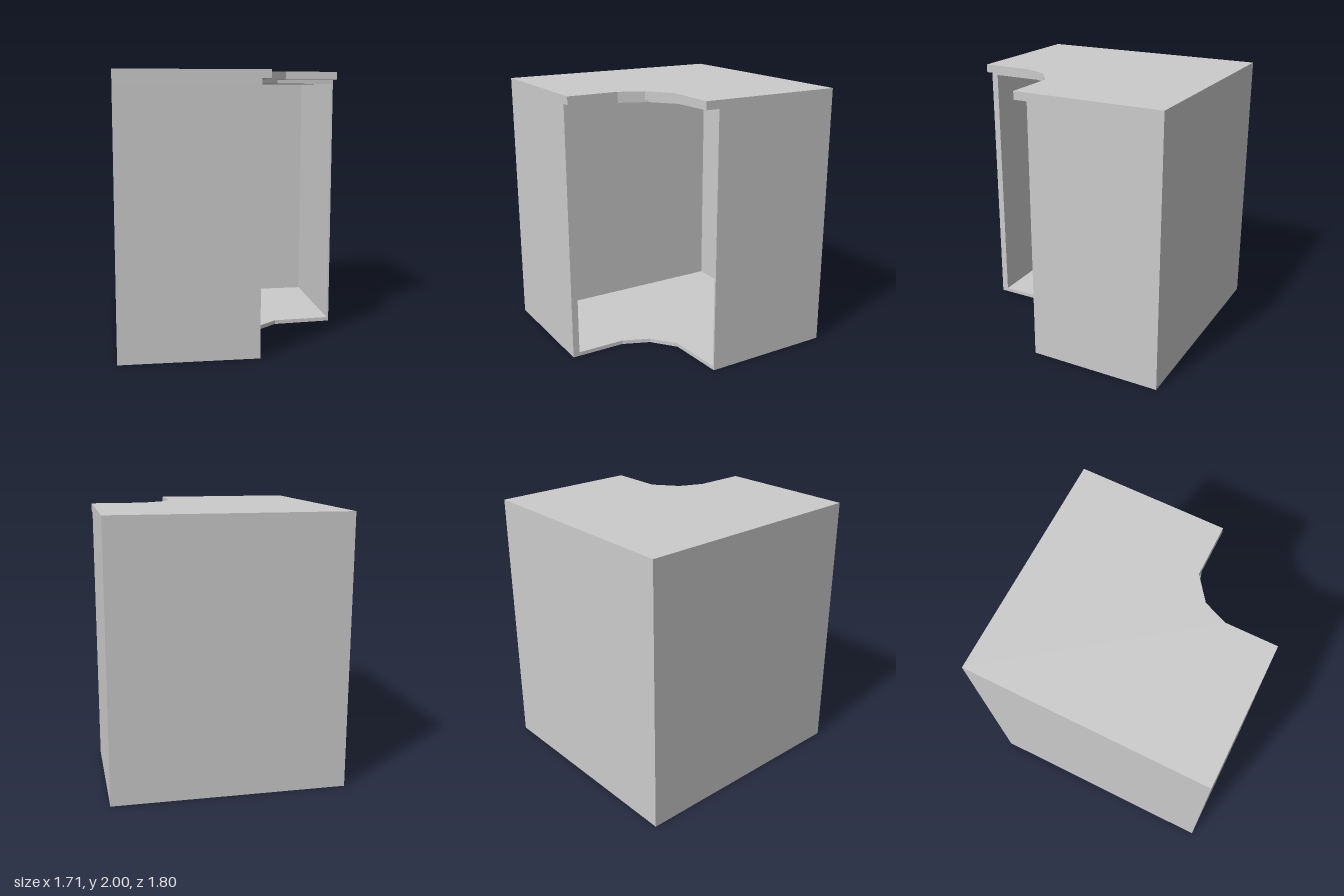
import * as THREE from 'three';

const W = 0.855, D = 0.9; // half width and half depth
const material = new THREE.MeshStandardMaterial({ color: 0xcccccc, flatShading: true });

// Horizontal slab: the full rectangle with its front corner (+x, +z) cut by a list of [x, z] points
function cornerSlab(name, cut, y0, y1) {
  const outline = [[-W, -D], [-W, D], ...cut, [W, -D]];
  const shape = new THREE.Shape(outline.map(([x, z]) => new THREE.Vector2(x, -z)));
  const geometry = new THREE.ExtrudeGeometry(shape, { depth: y1 - y0, bevelEnabled: false });
  geometry.rotateX(-Math.PI / 2).translate(0, y0, 0);
  const mesh = new THREE.Mesh(geometry, material);
  mesh.name = name;
  return mesh;
}

// Upright panel standing between the floor and the ceiling
function panel(name, x0, x1, z0, z1, y0, y1) {
  const mesh = new THREE.Mesh(new THREE.BoxGeometry(x1 - x0, y1 - y0, z1 - z0), material);
  mesh.position.set((x0 + x1) / 2, (y0 + y1) / 2, (z0 + z1) / 2);
  mesh.name = name;
  return mesh;
}

export function createModel() {
  const cabinet = new THREE.Group();
  cabinet.name = 'cornerCabinet';

  const floorTop = 0.03, ceilingBottom = 1.91, counterBottom = 1.94;
  const shelfCut = [[0.14, D], [0.14, 0.48], [0.226, 0.276], [0.406, 0.132], [W, 0.1]];
  const counterCut = [[0.205, D], [0.205, 0.515], [0.28, 0.338], [0.455, 0.205], [W, 0.205]];

  // Floor, ceiling and overhanging countertop
  cabinet.add(
    cornerSlab('floor', shelfCut, 0, floorTop),
    cornerSlab('ceiling', shelfCut, ceilingBottom, counterBottom),
    cornerSlab('countertop', counterCut, counterBottom, 2),
  );

  // Walls around the L-shaped inside, left open at the inner corner
  const leftInner = -W + 0.12, backInner = -D + 0.042;
  const walls = [
    ['sideWall', -W, leftInner, -D, D],
    ['backWall', leftInner, W, -D, backInner],
    ['frontWingEnd', leftInner, 0.14, 0.85, D],
    ['sideWingEnd', 0.84, W, backInner, 0.1],
  ];
  for (const wall of walls) cabinet.add(panel(...wall, floorTop, ceilingBottom));

  return cabinet;
}
